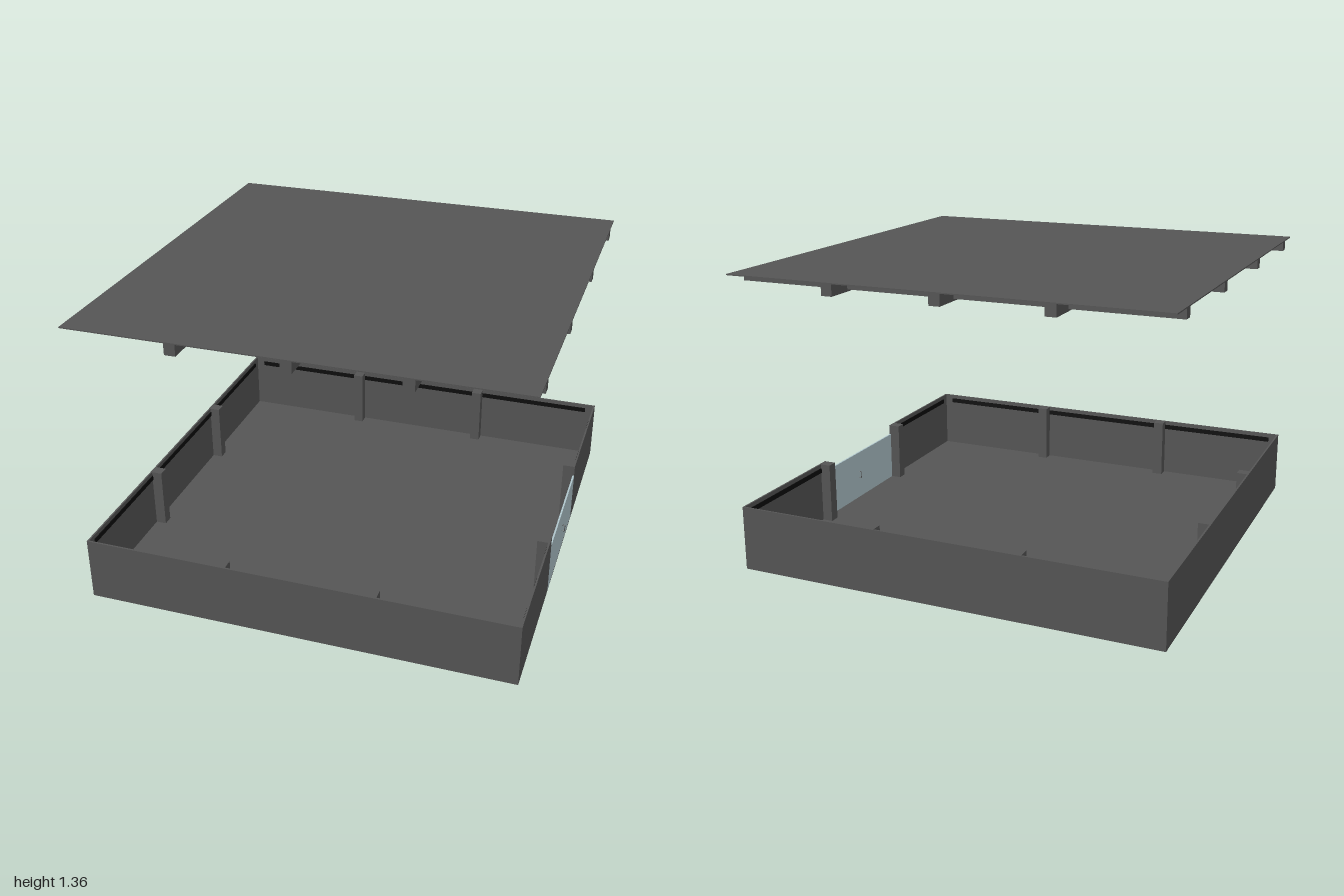
import * as THREE from 'three';

const GREY = new THREE.MeshStandardMaterial({ color: 0x555555 });
const BLACK = new THREE.MeshStandardMaterial({ color: 0x0c0c0c });
const GLASS = new THREE.MeshStandardMaterial({ color: 0xb0c6cc });

// Room footprint
const X0 = -1, X1 = 0.985, CX = (X0 + X1) / 2, W = X1 - X0;
const D = 1.99, HZ = D / 2;
const H = 0.3, T = 0.008;          // wall height and thickness
const DOOR = 0.32, DOOR_H = 0.25;  // half width and height of the door panel
const POST = 0.05, POST_AT = DOOR + POST / 2;

// Box from its minimum and maximum corners
function box(parent, name, material, [x0, y0, z0], [x1, y1, z1]) {
  const mesh = new THREE.Mesh(new THREE.BoxGeometry(x1 - x0, y1 - y0, z1 - z0), material);
  mesh.position.set((x0 + x1) / 2, (y0 + y1) / 2, (z0 + z1) / 2);
  mesh.name = name;
  parent.add(mesh);
  return mesh;
}

function buildRoom() {
  const room = new THREE.Group();
  room.name = 'room';
  box(room, 'floor', GREY, [X0, 0, -HZ], [X1, T, HZ]);

  // Walls; the door side is split by the opening
  box(room, 'backWall', GREY, [X0, T, -HZ], [X1, H, -HZ + T]);
  box(room, 'frontWall', GREY, [X0, T, HZ - T], [X1, H, HZ]);
  box(room, 'rightWall', GREY, [X0, T, -HZ + T], [X0 + T, H, HZ - T]);
  box(room, 'leftWallBack', GREY, [X1 - T, T, -HZ + T], [X1, H, -DOOR]);
  box(room, 'leftWallFront', GREY, [X1 - T, T, DOOR], [X1, H, HZ - T]);

  // Two posts against each wall
  for (const s of [-1, 1]) {
    const px = CX + s * POST_AT, pz = s * POST_AT, h = POST / 2;
    box(room, 'backPost', GREY, [px - h, T, -HZ + T], [px + h, H, -HZ + T + POST]);
    box(room, 'frontPost', GREY, [px - h, T, HZ - T - POST], [px + h, H, HZ - T]);
    box(room, 'rightPost', GREY, [X0 + T, T, pz - h], [X0 + T + POST, H, pz + h]);
    box(room, 'leftPost', GREY, [X1 - T - POST, T, pz - h], [X1 - T, H, pz + h]);
  }

  // Dark strips near the top of the inner walls
  const y0 = 0.257, y1 = 0.28, p = T + 0.004, m = 0.05;
  box(room, 'backStrip', BLACK, [X0 + m, y0, -HZ + T], [X1 - m, y1, -HZ + p]);
  box(room, 'frontStrip', BLACK, [X0 + m, y0, HZ - p], [X1 - m, y1, HZ - T]);
  box(room, 'rightStrip', BLACK, [X0 + T, y0, -HZ + m], [X0 + p, y1, HZ - m]);
  box(room, 'leftStripBack', BLACK, [X1 - p, y0, -HZ + m], [X1 - T, y1, -DOOR - POST]);
  box(room, 'leftStripFront', BLACK, [X1 - p, y0, DOOR + POST], [X1 - T, y1, HZ - m]);
  return room;
}

function buildDoor() {
  const door = new THREE.Group();
  door.name = 'door';
  box(door, 'doorPanel', GLASS, [X1 - T, 0, -DOOR], [X1, DOOR_H, DOOR]);

  // Pull handle on each face: a bent rod
  const out = 0.013, lo = 0.115, hi = 0.148;
  for (const [x, s] of [[X1, 1], [X1 - T, -1]]) {
    const path = new THREE.CurvePath();
    const pts = [[0, lo], [out, lo], [out, hi], [0, hi]]
      .map(([dx, y]) => new THREE.Vector3(x + s * dx, y, -0.02));
    for (let i = 0; i < 3; i++) path.add(new THREE.LineCurve3(pts[i], pts[i + 1]));
    const handle = new THREE.Mesh(new THREE.TubeGeometry(path, 30, 0.002, 8), GREY);
    handle.name = 'doorHandle';
    door.add(handle);
  }
  return door;
}

function buildRoof() {
  const roof = new THREE.Group();
  roof.name = 'roof';
  const top = 1.357, under = top - 0.005;
  box(roof, 'roofSheet', GREY, [X0, under, -HZ], [X1, top, HZ]);
  // Main beams run front to back, lighter ones across
  for (const i of [-1, 0, 1]) {
    const x = CX + i * W / 4;
    box(roof, 'mainBeam', GREY, [x - 0.025, 1.3, -HZ], [x + 0.025, under, HZ]);
  }
  for (const z of [-0.85, -0.295, 0.295, 0.85]) {
    box(roof, 'crossBeam', GREY, [X0, 1.309, z - 0.023], [X1, under, z + 0.023]);
  }
  return roof;
}

export function createModel() {
  const model = new THREE.Group();
  model.name = 'roomWithRaisedRoof';
  model.add(buildRoom(), buildDoor(), buildRoof());
  return model;
}
